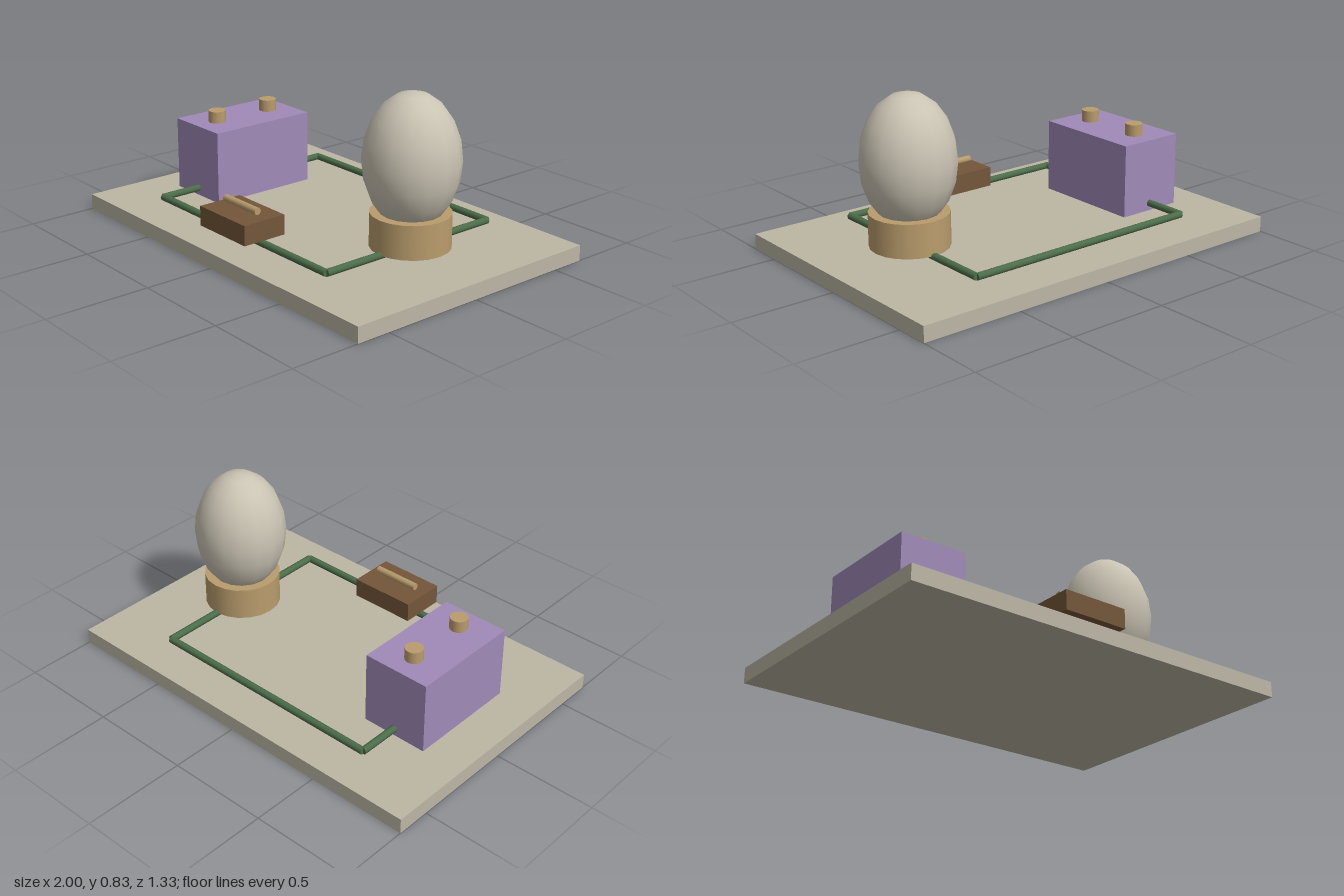
import * as THREE from 'three';

const material = (name, color) => {
  const m = new THREE.MeshStandardMaterial({ color });
  m.name = name;
  return m;
};

export function createModel() {
  const model = new THREE.Group();
  model.name = 'circuitBoard';

  const stone = material('stone', 0xbcb6a4);
  const purple = material('purple', 0xa08ab8);
  const brass = material('brass', 0xb99c6c);
  const brown = material('brown', 0x74563a);
  const green = material('green', 0x4c6e4a);
  const glass = material('glass', 0xcac4b3);

  const add = (name, geometry, mat, x, y, z) => {
    const mesh = new THREE.Mesh(geometry, mat);
    mesh.name = name;
    mesh.position.set(x, y, z);
    model.add(mesh);
    return mesh;
  };

  // Straight round rod between two points
  const rod = (name, a, b, radius, mat) => {
    const start = new THREE.Vector3(...a);
    const dir = new THREE.Vector3(...b).sub(start);
    const mid = start.clone().addScaledVector(dir, 0.5);
    const mesh = add(name, new THREE.CylinderGeometry(radius, radius, dir.length(), 8), mat, mid.x, mid.y, mid.z);
    mesh.quaternion.setFromUnitVectors(new THREE.Vector3(0, 1, 0), dir.normalize());
  };

  const batteryX = -0.632, lampX = 0.59, wireY = 0.121, wireZ = 0.485, wireR = 0.0175;

  // Base board
  add('baseBoard', new THREE.BoxGeometry(2, 0.075, 1.333), stone, 0, 0.0375, 0);

  // Battery with two terminals
  add('battery', new THREE.BoxGeometry(0.334, 0.355, 0.556), purple, batteryX, 0.262, 0);
  for (const side of [-1, 1]) {
    add('batteryTerminal', new THREE.CylinderGeometry(0.043, 0.043, 0.06, 12), brass, batteryX, 0.467, side * 0.156);
  }

  // Lamp: socket and egg-shaped bulb
  add('lampSocket', new THREE.CylinderGeometry(0.185, 0.185, 0.16, 20), brass, lampX, 0.203, 0);
  const bulb = add('bulb', new THREE.SphereGeometry(0.222, 16, 10), glass, lampX, 0.52, 0);
  bulb.scale.y = 1.4;

  // Switch block with a contact bar above it
  add('switchBlock', new THREE.BoxGeometry(0.332, 0.095, 0.223), brown, 0, 0.187, wireZ);
  rod('switchBar', [-0.118, 0.262, wireZ], [0.118, 0.262, wireZ], 0.0175, brass);

  // Wire loop, mirrored front and back
  for (const side of [-1, 1]) {
    const z = side * wireZ;
    rod('batteryWire', [batteryX, wireY, side * 0.156], [batteryX, wireY, z], wireR, green);
    rod('longWire', [batteryX, wireY, z], [lampX, wireY, z], wireR, green);
    rod('lampWire', [lampX, wireY, z], [lampX, wireY, 0], wireR, green);
  }

  return model;
}
